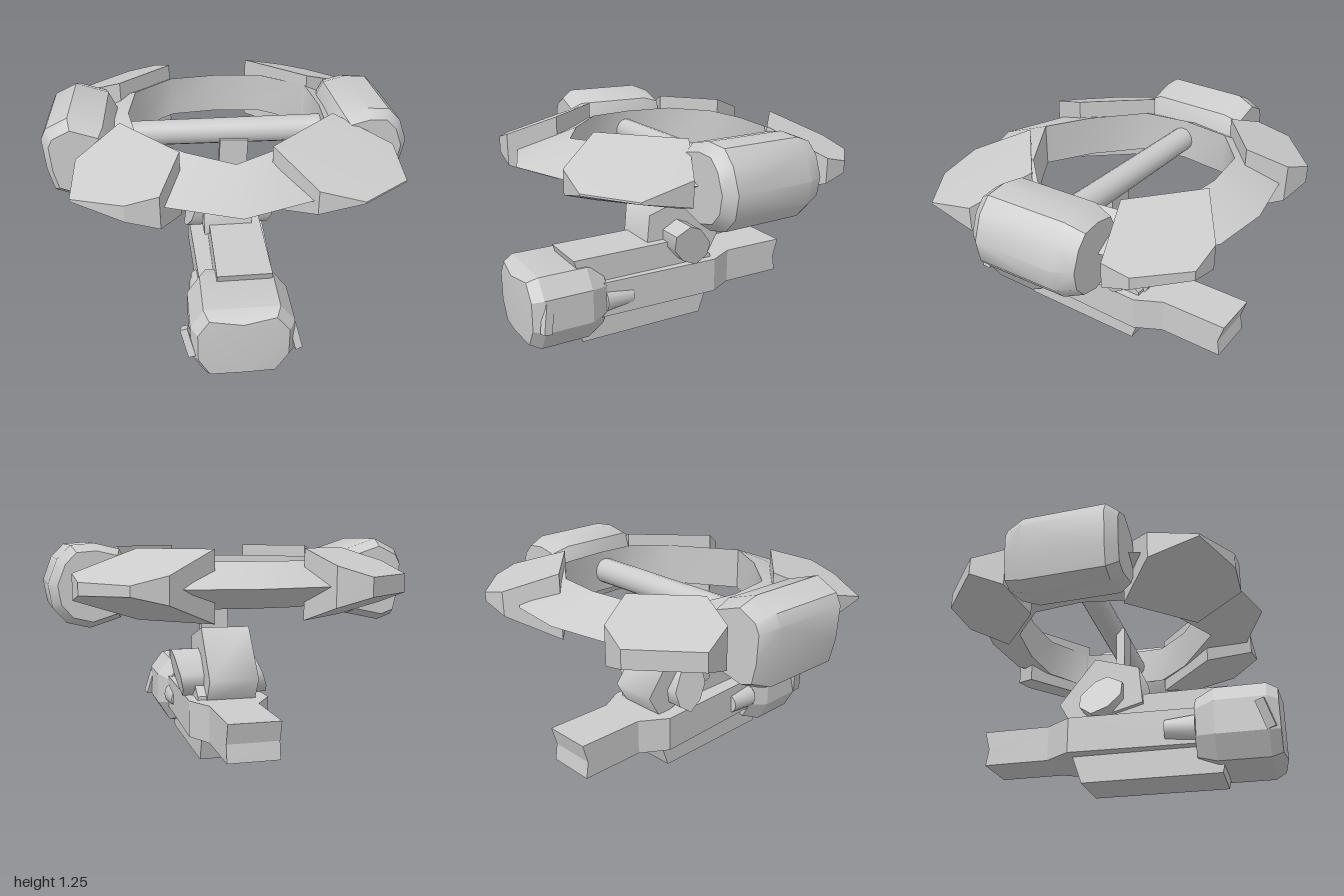
import * as THREE from 'three';
import { toCreasedNormals } from 'three/addons/utils/BufferGeometryUtils.js';
import { ConvexGeometry } from 'three/addons/geometries/ConvexGeometry.js';

const MID = 1.02; // height of the ring plane
const v = (x, y, z) => new THREE.Vector3(x, y, z);

export function createModel() {
  const model = new THREE.Group();
  const grey = new THREE.MeshStandardMaterial({ color: 0xcccccc, side: THREE.DoubleSide });

  const add = (name, geometry, crease = 0.4) => {
    const mesh = new THREE.Mesh(toCreasedNormals(geometry, crease), grey);
    mesh.name = name;
    model.add(mesh);
    return mesh;
  };
  const box = (name, x0, x1, y0, y1, z0, z1) => {
    const m = add(name, new THREE.BoxGeometry(x1 - x0, y1 - y0, z1 - z0));
    m.position.set((x0 + x1) / 2, (y0 + y1) / 2, (z0 + z1) / 2);
    return m;
  };
  // Side profile [z, y] extruded across x0..x1
  const sideProfile = (name, pts, x0, x1, crease) => {
    const shape = new THREE.Shape(pts.map(([z, y]) => new THREE.Vector2(-z, y)));
    const geo = new THREE.ExtrudeGeometry(shape, { depth: x1 - x0, bevelEnabled: false });
    return add(name, geo.rotateY(Math.PI / 2).translate(x0, 0, 0), crease);
  };
  // Plan outline [x, z] extruded over y0..y1
  const planProfile = (name, pts, y0, y1) => {
    const shape = new THREE.Shape(pts.map(([x, z]) => new THREE.Vector2(x, -z)));
    const geo = new THREE.ExtrudeGeometry(shape, { depth: y1 - y0, bevelEnabled: false });
    return add(name, geo.rotateX(-Math.PI / 2).translate(0, y0, 0));
  };

  // Ring: wedge section with an inner wall and an outer ridge
  const inner = [[0, -0.61], [0.27, -0.58], [0.52, -0.4], [0.55, -0.12], [0.54, 0.12], [0.365, 0.3],
    [0, 0.52], [-0.25, 0.37], [-0.5, 0.14], [-0.54, -0.12], [-0.5, -0.4], [-0.28, -0.58]];
  const outer = [[0, -0.88], [0.34, -0.84], [0.7, -0.6], [0.8, -0.16], [0.76, 0.25], [0.38, 0.7],
    [0, 0.83], [-0.37, 0.69], [-0.76, 0.25], [-0.8, -0.16], [-0.7, -0.6], [-0.36, -0.82]];
  const positions = [], index = [];
  inner.forEach(([x, z], i) => {
    const [ox, oz] = outer[i];
    positions.push(x, MID + 0.12, z, ox, MID, oz, x, MID - 0.12, z);
    const a = i * 3, b = ((i + 1) % inner.length) * 3;
    for (let k = 0; k < 3; k++) {
      const l = (k + 1) % 3;
      index.push(a + k, b + l, b + k, a + k, a + l, b + l);
    }
  });
  const ring = new THREE.BufferGeometry();
  ring.setAttribute('position', new THREE.Float32BufferAttribute(positions, 3));
  ring.setIndex(index);
  add('ring', ring, 0.85);

  // Wedge pods on the ring: the first two corners are the tall inner edge
  const pods = {
    frontLeftPod: [[0.57, 0.13], [0.19, 0.47], [0.38, 0.73], [0.61, 0.75], [0.87, 0.57], [0.87, 0.29]],
    frontRightPod: [[-0.58, 0.13], [-0.28, 0.48], [-0.39, 0.74], [-0.56, 0.73], [-0.83, 0.58], [-0.81, 0.31]],
    backLeftPod: [[0.53, -0.39], [0.19, -0.68], [0.45, -0.87], [0.63, -0.87], [0.85, -0.66], [0.87, -0.52]],
    backRightPod: [[-0.59, -0.39], [-0.29, -0.64], [-0.38, -0.85], [-0.55, -0.9], [-0.85, -0.65], [-0.8, -0.47]],
  };
  for (const [name, pts] of Object.entries(pods)) {
    const [a, b] = pts;
    const len = Math.hypot(b[0] - a[0], b[1] - a[1]);
    const corners = [];
    for (const [x, z] of pts) {
      // Height falls evenly from the inner edge to a thin outer edge
      const d = Math.abs((b[0] - a[0]) * (z - a[1]) - (b[1] - a[1]) * (x - a[0])) / len;
      const h = Math.max(0.005, 0.185 - 0.37 * d);
      corners.push(v(x, MID + h, z), v(x, MID - h, z));
    }
    add(name, new ConvexGeometry(corners), 0.1);
  }

  // Side drums: rounded sections along z with tapered ends, turned slightly
  const drums = {
    leftDrum: [[0.99, 1.02], [0.97, 0.9], [0.9, 0.82], [0.78, 0.79], [0.62, 0.84], [0.56, 0.95],
      [0.56, 1.08], [0.62, 1.2], [0.75, 1.23], [0.87, 1.22], [0.94, 1.15]],
    rightDrum: [[-0.99, 1.13], [-0.96, 1.19], [-0.84, 1.25], [-0.66, 1.19], [-0.61, 1.08], [-0.61, 0.95],
      [-0.68, 0.83], [-0.87, 0.79], [-0.95, 0.82], [-0.98, 0.95]],
  };
  for (const [name, pts] of Object.entries(drums)) {
    const left = name === 'leftDrum';
    const cx = left ? 0.75 : -0.77;
    const corners = [];
    for (const [z, s] of [[0.31, 0.8], [0.25, 1], [-0.2, 1], [-0.3, 0.82]]) {
      for (const [x, y] of pts) corners.push(v((x - cx) * s, (y - MID) * s, z));
    }
    const drum = add(name, new ConvexGeometry(corners), 0.6);
    drum.position.set(cx, MID, -0.11);
    drum.rotation.y = left ? 0.04 : -0.04;
  }

  // Crossbar, neck and mount
  const bar = add('crossbar', new THREE.CylinderGeometry(0.07, 0.075, 1.12, 16).rotateZ(Math.PI / 2), 0.6);
  bar.position.set(0.01, MID, -0.09);
  bar.rotation.y = -0.02;
  const neck = box('neck', -0.04, 0.12, 0.66, 1.0, -0.05, 0);
  neck.rotation.z = -0.04;
  sideProfile('mount', [[0.13, 0.45], [0.11, 0.67], [-0.15, 0.75], [-0.36, 0.48], [-0.28, 0.34]], -0.14, 0.14, 1.25);

  // Cross barrel: uneven section [z, y] with slanted ends
  const barrelPoints = [];
  for (const [z, y] of [[0.02, 0.57], [-0.07, 0.62], [-0.14, 0.59], [-0.22, 0.49], [-0.21, 0.41], [-0.14, 0.36], [-0.05, 0.4], [0.02, 0.48]]) {
    barrelPoints.push(v(-0.205 + (y - 0.49) * 0.34, y, z), v(0.275 + (y - 0.49) * 0.2, y, z));
  }
  add('crossBarrel', new ConvexGeometry(barrelPoints), 0.9);

  // Hull: waist, notched tail, upper deck and keel
  planProfile('hull', [[-0.19, 0.6], [0.22, 0.6], [0.24, -0.28], [0.16, -0.43], [-0.12, -0.43], [-0.22, -0.28]], 0.155, 0.36);
  sideProfile('tail', [[-0.42, 0.36], [-0.42, 0.155], [-0.805, 0.155], [-0.79, 0.25], [-0.82, 0.36]], -0.12, 0.16);
  sideProfile('upperDeck', [[0.61, 0.51], [0.55, 0.34], [-0.28, 0.34], [-0.28, 0.38], [-0.1, 0.51]], -0.11, 0.19);
  sideProfile('keel', [[0.6, 0.17], [0.56, 0], [-0.22, 0], [-0.28, 0.17]], -0.14, 0.165);

  // Head: bevelled octagonal block with a slightly bowed face
  const headSection = [[-0.2, 0.465], [0.2, 0.465], [0.28, 0.36], [0.28, 0.17], [0.2, 0.045], [-0.2, 0.045], [-0.27, 0.17], [-0.27, 0.36]];
  const headPoints = [v(0, 0.42, 0.9), v(0, 0.09, 0.9)];
  for (const [z, s] of [[0.88, 0.87], [0.82, 1], [0.54, 1], [0.43, 0.8]]) {
    for (const [x, y] of headSection) headPoints.push(v(x * s, 0.26 + (y - 0.26) * s, z));
  }
  add('head', new ConvexGeometry(headPoints), 0.4);

  // Side vanes and tapered canisters beside the head
  for (const side of [1, -1]) {
    const name = side > 0 ? 'left' : 'right';
    const vane = box(name + 'Vane', -0.02, 0.02, -0.08, 0.08, -0.025, 0.025);
    vane.position.set(side * 0.28, 0.255, 0.81);
    vane.rotation.set(-0.28, side * 0.2, 0.25);
    const canister = add(name + 'Canister', new THREE.CylinderGeometry(0.075, 0.06, 0.17, 12).rotateX(Math.PI / 2), 0.6);
    canister.position.set(side * 0.18, 0.245, 0.35);
  }
  return model;
}
